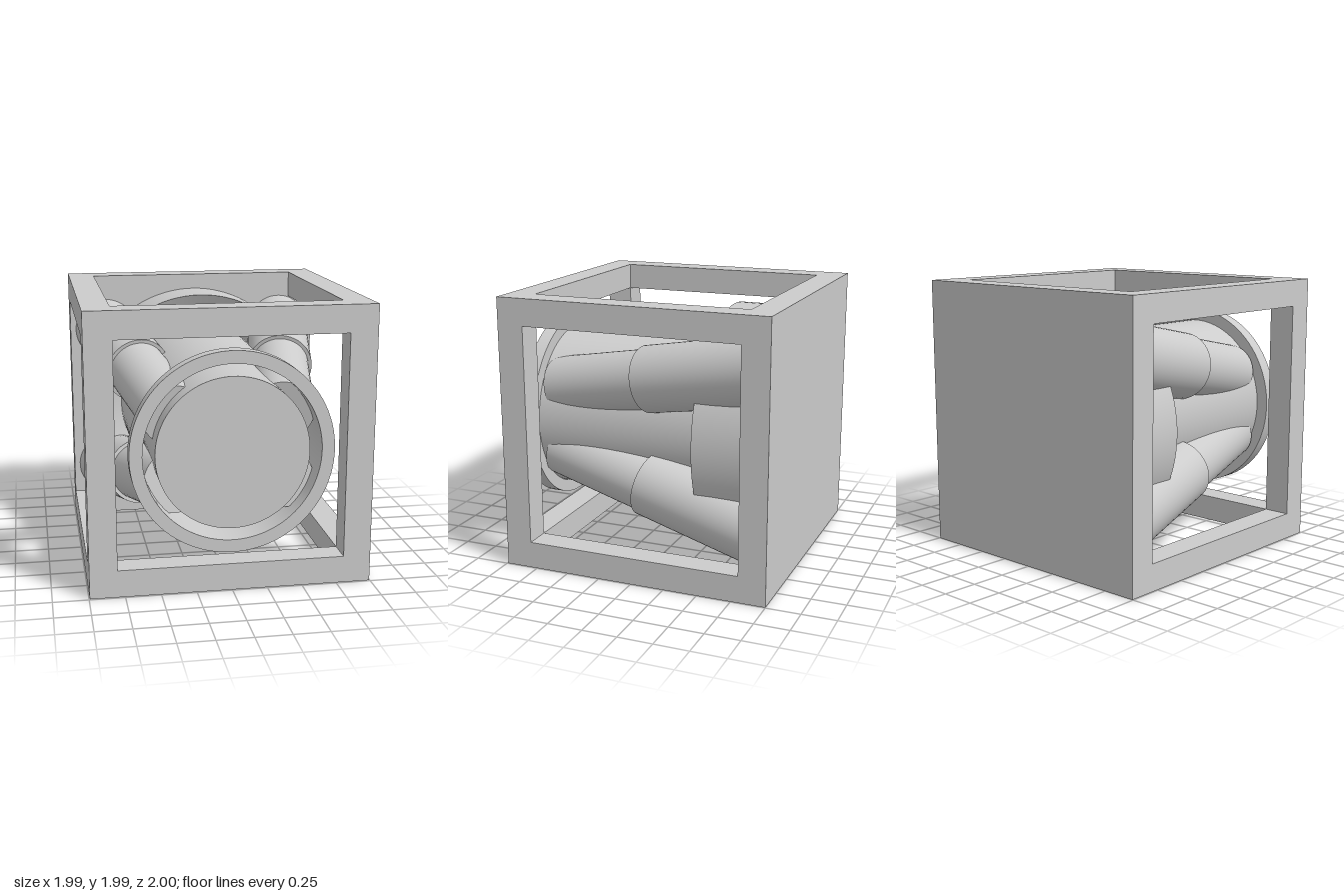
import * as THREE from 'three';
import { toCreasedNormals } from 'three/addons/utils/BufferGeometryUtils.js';

export function createModel() {
  const model = new THREE.Group();
  const grey = new THREE.MeshStandardMaterial({ color: 0xcccccc, side: THREE.DoubleSide });
  grey.name = 'grey';
  const CY = 0.995; // height of the central axis

  const add = (name, geometry, x = 0, y = 0, z = 0, parent = model) => {
    const mesh = new THREE.Mesh(geometry, grey);
    mesh.name = name;
    mesh.position.set(x, y, z);
    parent.add(mesh);
    return mesh;
  };
  const box = (name, w, h, d, x, y, z) => add(name, new THREE.BoxGeometry(w, h, d), x, y, z);

  // Turned part around the z axis; profile holds [radius, z] pairs
  const turned = (name, profile) => {
    const pts = profile.map(([r, z]) => new THREE.Vector2(r, z));
    const geometry = toCreasedNormals(new THREE.LatheGeometry(pts, 96), 0.5);
    geometry.rotateX(Math.PI / 2);
    return add(name, geometry, 0, CY, 0);
  };

  // Cube frame with a solid back wall
  const H = 0.995, T = 0.195, mid = H - T / 2, inner = 2 * (H - T);
  box('backWall', 2 * H, 2 * H, 0.2, 0, CY, -0.9);
  for (const s of [-1, 1]) {
    box('frontUpright', T, 2 * H, T, s * mid, CY, 0.8925);
    box('frontRail', inner, T, T, 0, CY + s * mid, 0.8925);
    for (const t of [-1, 1]) box('sideRail', T, T, 1.595, s * mid, CY + t * mid, -0.0025);
  }

  // Main barrel: thin outer tube, inner core and front rim
  turned('outerTube', [[0.618, -0.8], [0.618, 0.95]]);
  turned('innerCore', [[0.535, -0.8], [0.535, 0.998], [0, 0.998]]);
  turned('frontRim', [[0.62, 0.9], [0.71, 0.9], [0.71, 1], [0.62, 1], [0.62, 0.9]]);

  // Rear collar with a dished front
  turned('rearCollar', [[0.88, -0.82], [0.88, -0.41], [0.618, -0.55]]);

  // Four slanted legs, each a thin rod in a wider sleeve
  const up = new THREE.Vector3(0, 1, 0);
  const axisPoint = (z, sx, sy) =>
    new THREE.Vector3(sx * (0.547 - 0.197 * z), CY + sy * (0.4 - 0.197 * z), z);
  const rod = (name, radius, z0, z1, sx, sy, parent) => {
    const a = axisPoint(z0, sx, sy), b = axisPoint(z1, sx, sy);
    const c = a.clone().add(b).multiplyScalar(0.5);
    const mesh = add(name, new THREE.CylinderGeometry(radius, radius, a.distanceTo(b), 48), c.x, c.y, c.z, parent);
    mesh.quaternion.setFromUnitVectors(up, b.sub(a).normalize());
  };
  for (const sx of [-1, 1]) for (const sy of [-1, 1]) {
    const leg = new THREE.Group();
    leg.name = (sy > 0 ? 'upper' : 'lower') + (sx > 0 ? 'Left' : 'Right') + 'Leg';
    rod('legRod', 0.217, -0.1, 0.82, sx, sy, leg);
    rod('legSleeve', 0.243, -0.86, 0.04, sx, sy, leg);
    model.add(leg);
  }
  return model;
}
